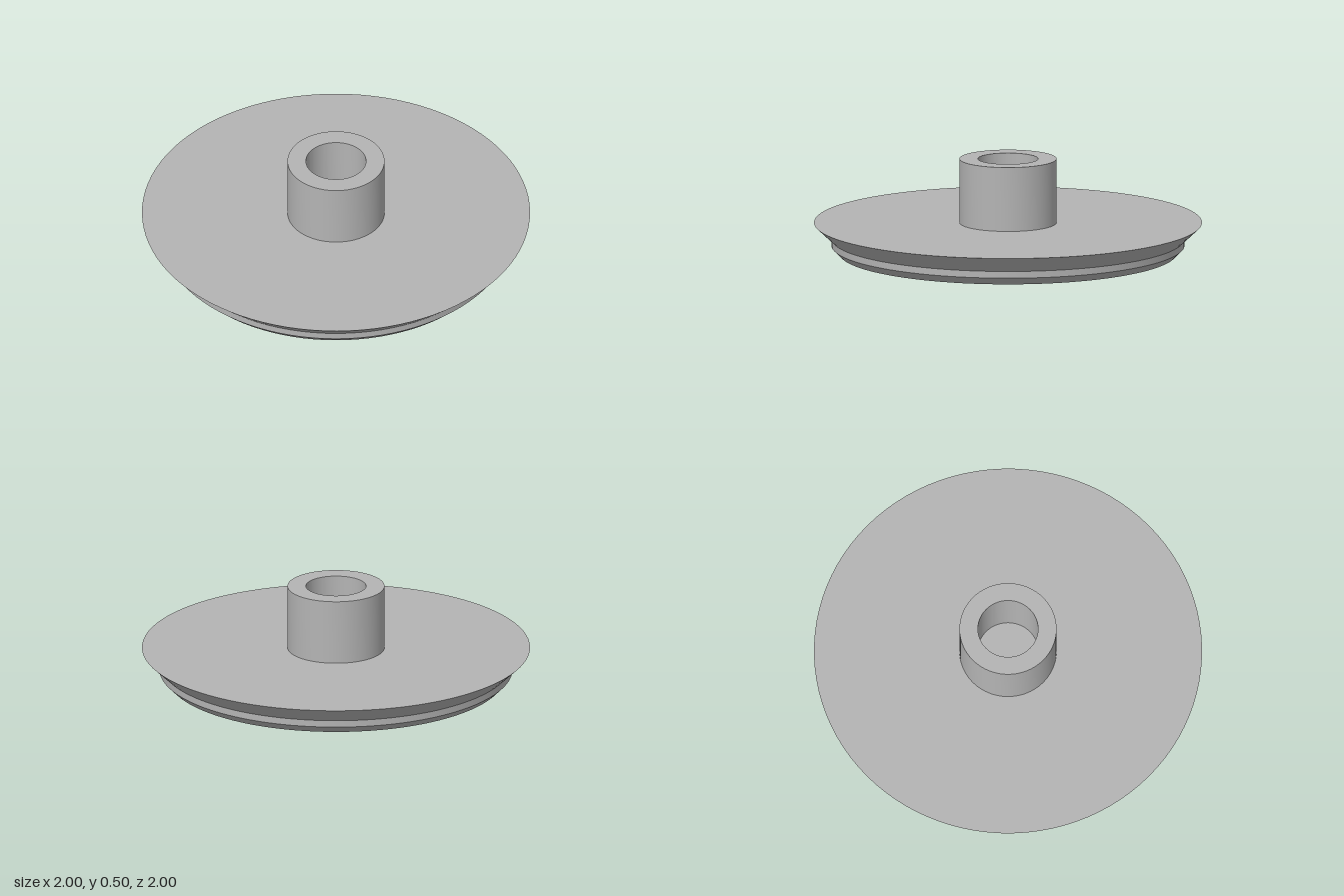
import * as THREE from 'three';
import { toCreasedNormals } from 'three/addons/utils/BufferGeometryUtils.js';

// Turned part from [radius, height] pairs, smooth around and sharp at its edges
function turned(name, profile, material) {
  const points = profile.map(([r, y]) => new THREE.Vector2(r, y));
  const geometry = toCreasedNormals(new THREE.LatheGeometry(points, 96), 0.4);
  const mesh = new THREE.Mesh(geometry, material);
  mesh.name = name;
  return mesh;
}

export function createModel() {
  const model = new THREE.Group();
  model.name = 'flangedPlug';
  const grey = new THREE.MeshStandardMaterial({ color: 0xb4b4b4 });
  grey.name = 'plain grey';

  const plateTop = 0.16, hubTop = 0.495, hubRadius = 0.25, boreRadius = 0.155;

  // Disc with a chamfered foot, a narrow straight band and a flared rim
  model.add(turned('plate', [
    [0, 0], [0.87, 0], [0.91, 0.04], [0.91, 0.075], [0.995, plateTop], [1, plateTop], [0, plateTop],
  ].filter(([r]) => r !== 0.995), grey));

  // Hollow hub: outer wall, top ring and bore
  model.add(turned('hub', [
    [hubRadius, plateTop], [hubRadius, hubTop], [boreRadius, hubTop], [boreRadius, plateTop],
  ], grey));

  return model;
}
